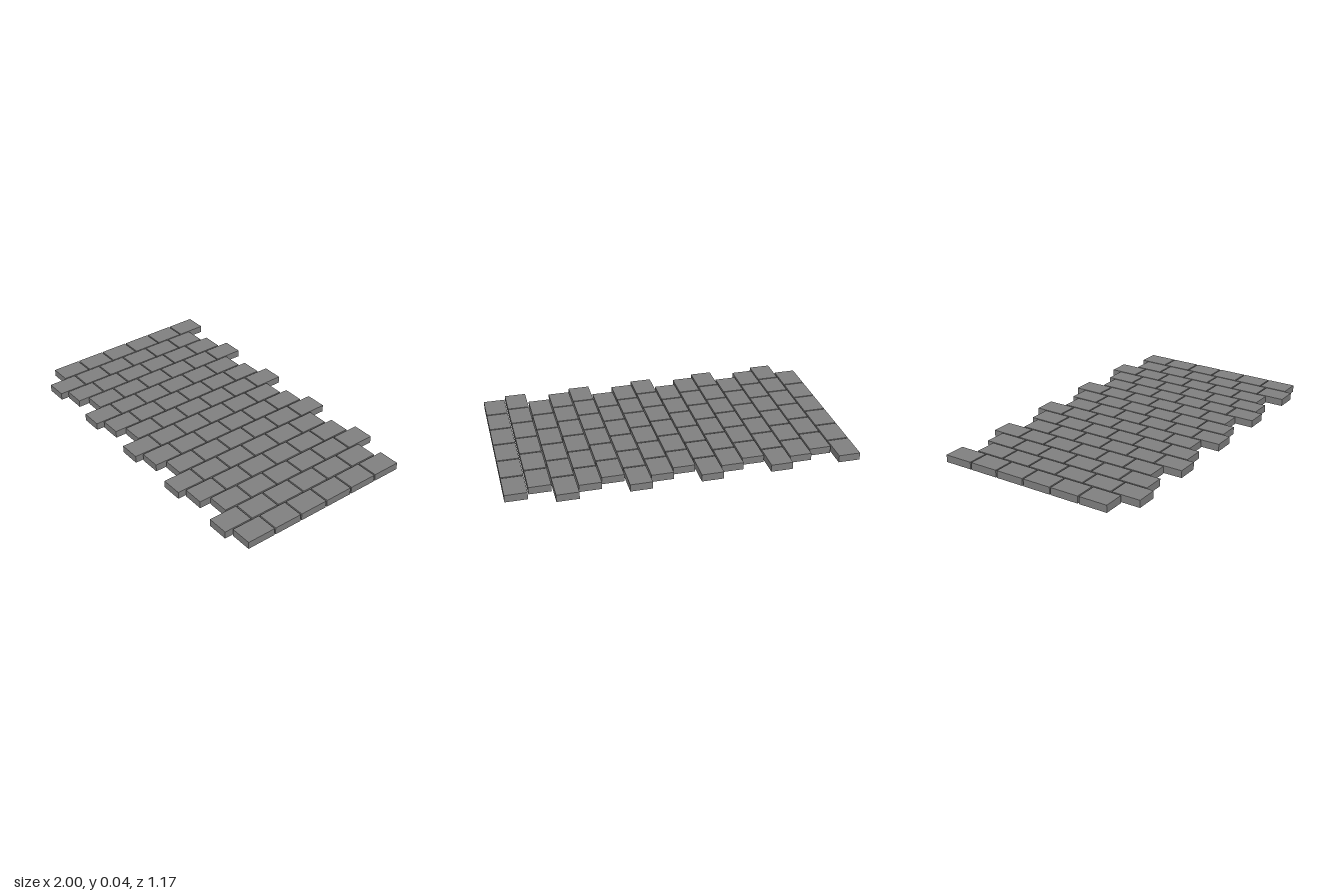
import * as THREE from 'three';

const COLUMNS = 15, ROWS = 6;
const WIDTH = 0.126, LENGTH = 0.171, HEIGHT = 0.043;
const PITCH_X = (2 - WIDTH) / (COLUMNS - 1);
const PITCH_Z = 0.179;
// Back edge of each column, repeating every three columns
const STAGGER = [-0.588, -0.479, -0.524];

// Paving stone shell: a box with its underside left open
function openBox(w, h, d) {
  const geometry = new THREE.BoxGeometry(w, h, d);
  const faces = Array.from(geometry.index.array);
  faces.splice(18, 6); // the two triangles of the bottom
  geometry.setIndex(faces);
  geometry.clearGroups();
  return geometry;
}

export function createModel() {
  const model = new THREE.Group();
  model.name = 'pavement';
  const material = new THREE.MeshStandardMaterial({ color: 0x808080, side: THREE.DoubleSide });
  const stone = openBox(WIDTH, HEIGHT, LENGTH);

  // Staggered columns of stones
  for (let c = 0; c < COLUMNS; c++) {
    const column = new THREE.Group();
    column.name = `stoneColumn${c + 1}`;
    column.position.set(-1 + WIDTH / 2 + c * PITCH_X, HEIGHT / 2, STAGGER[c % 3] + LENGTH / 2);
    for (let r = 0; r < ROWS; r++) {
      const mesh = new THREE.Mesh(stone, material);
      mesh.name = `pavingStone${r + 1}`;
      mesh.position.z = r * PITCH_Z;
      column.add(mesh);
    }
    model.add(column);
  }
  return model;
}
